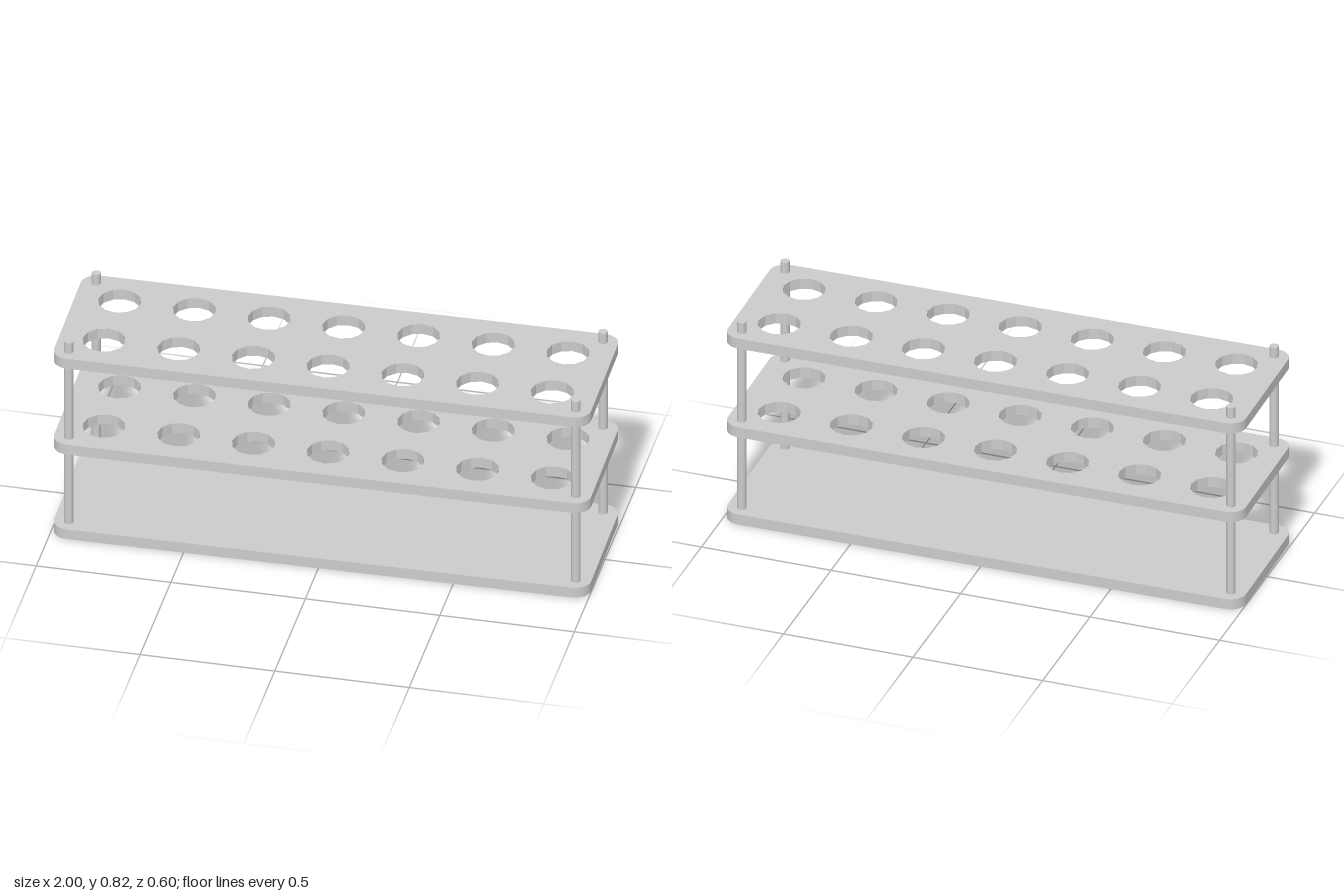
import * as THREE from 'three';

const material = new THREE.MeshStandardMaterial({ color: 0xcccccc });
const HX = 0.996, HZ = 0.288, CORNER = 0.06, THICK = 0.042;

// Rounded rectangle outline of every plate
function plateShape() {
  const s = new THREE.Shape();
  const x = HX - CORNER, y = HZ - CORNER, q = Math.PI / 2;
  s.absarc(x, y, CORNER, 0, q);
  s.absarc(-x, y, CORNER, q, 2 * q);
  s.absarc(-x, -y, CORNER, 2 * q, 3 * q);
  s.absarc(x, -y, CORNER, 3 * q, 4 * q);
  s.closePath();
  return s;
}

// Twelve-sided tube hole
function tubeHole(cx, cy, r) {
  const pts = [];
  for (let i = 0; i < 12; i++) {
    const a = -i * Math.PI / 6;
    pts.push(new THREE.Vector2(cx + r * Math.cos(a), cy + r * Math.sin(a)));
  }
  return new THREE.Path(pts);
}

function plate(name, y, withHoles) {
  const shape = plateShape();
  if (withHoles) {
    for (let i = -3; i <= 3; i++) {
      for (const z of [-0.135, 0.135]) shape.holes.push(tubeHole(i * 0.277, z, 0.079));
    }
  }
  const geo = new THREE.ExtrudeGeometry(shape, { depth: THICK, bevelEnabled: false, curveSegments: 6 });
  geo.rotateX(-Math.PI / 2);
  const mesh = new THREE.Mesh(geo, material);
  mesh.name = name;
  mesh.position.y = y;
  return mesh;
}

export function createModel() {
  const rack = new THREE.Group();
  rack.name = 'tubeRack';

  // Solid base and two perforated shelves
  rack.add(plate('basePlate', 0, false));
  rack.add(plate('middleShelf', 0.363, true));
  rack.add(plate('topShelf', 0.732, true));

  // Corner rods, rising slightly above the top shelf
  const bottom = 0.02, top = 0.818;
  const rodGeo = new THREE.CylinderGeometry(0.017, 0.017, top - bottom, 16);
  for (const sx of [-1, 1]) {
    for (const sz of [-1, 1]) {
      const rod = new THREE.Mesh(rodGeo, material);
      rod.name = (sz > 0 ? 'front' : 'back') + (sx > 0 ? 'Left' : 'Right') + 'Rod';
      rod.position.set(sx * 0.94, (top + bottom) / 2, sz * 0.236);
      rack.add(rod);
    }
  }

  // The whole rack is turned very slightly about the vertical
  rack.rotation.y = 0.0122;
  const model = new THREE.Group();
  model.name = 'model';
  model.add(rack);
  return model;
}
